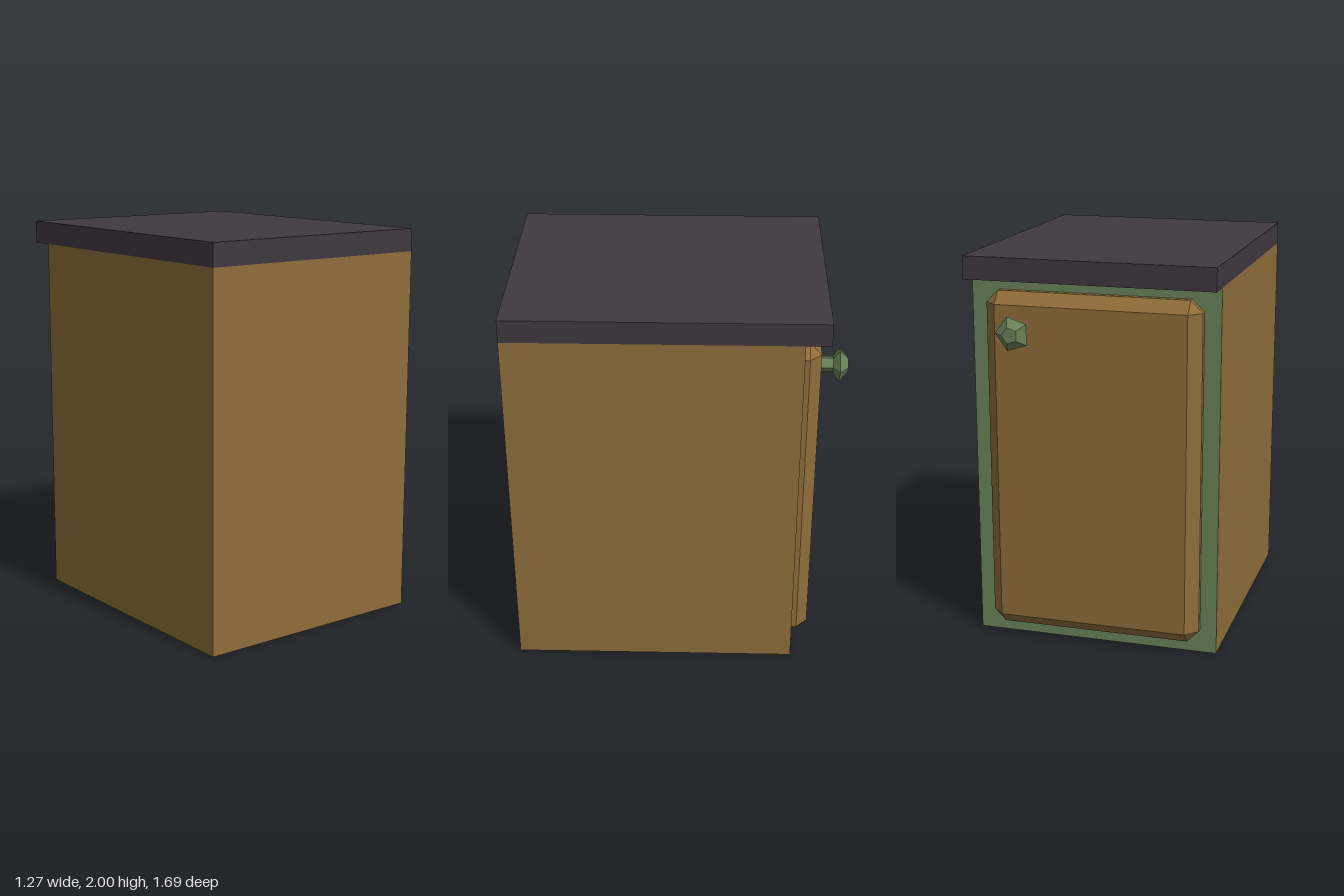
import * as THREE from 'three';
import { ConvexGeometry } from 'three/addons/geometries/ConvexGeometry.js';

const material = (name, color) => new THREE.MeshStandardMaterial({ name, color, flatShading: true });

export function createModel() {
  const wood = material('wood', 0x8f6d3a);
  const dark = material('darkTop', 0x40383f);
  const green = material('greenMetal', 0x688259);

  const model = new THREE.Group();
  model.name = 'cabinet';
  const add = (name, geometry, mat, x = 0, y = 0, z = 0) => {
    const mesh = new THREE.Mesh(geometry, mat);
    mesh.name = name;
    mesh.position.set(x, y, z);
    model.add(mesh);
  };

  // Cabinet body: wooden on all sides, with a green back face framing the door
  const bodyBack = -0.613, front = 0.843, width = 1.27, bodyTop = 1.884;
  const depth = front - bodyBack;
  add('body', new THREE.BoxGeometry(width, bodyTop, depth),
    [wood, wood, wood, wood, wood, green], 0, bodyTop / 2, (front + bodyBack) / 2);

  // Countertop overhanging the door side
  const topBack = -0.737;
  add('countertop', new THREE.BoxGeometry(width, 2 - bodyTop, front - topBack),
    dark, 0, (2 + bodyTop) / 2, (front + topBack) / 2);

  // Door panel: chamfered outline, narrowing to a smaller flat outer face
  const halfW = 0.55, halfH = 0.88, cut = 0.061, doorFace = -0.703;
  const points = [];
  for (const sx of [-1, 1]) for (const sy of [-1, 1]) {
    const x = sx * (halfW - cut), y = sy * (halfH - cut);
    for (const z of [bodyBack, -0.644]) {
      points.push(new THREE.Vector3(sx * halfW, y, z), new THREE.Vector3(x, sy * halfH, z));
    }
    points.push(new THREE.Vector3(x, y, doorFace));
  }
  add('door', new ConvexGeometry(points), wood, 0, bodyTop / 2, 0);

  // Five-sided knob turned around the z axis
  const profile = [[0.042, 0], [0.042, 0.066], [0.089, 0.098], [0.042, 0.14], [0, 0.14]]
    .map(([r, h]) => new THREE.Vector2(r, h));
  const knob = new THREE.LatheGeometry(profile, 5, Math.PI / 2);
  knob.rotateX(-Math.PI / 2);
  add('doorKnob', knob, green, 0.359, 1.64, doorFace);

  return model;
}
